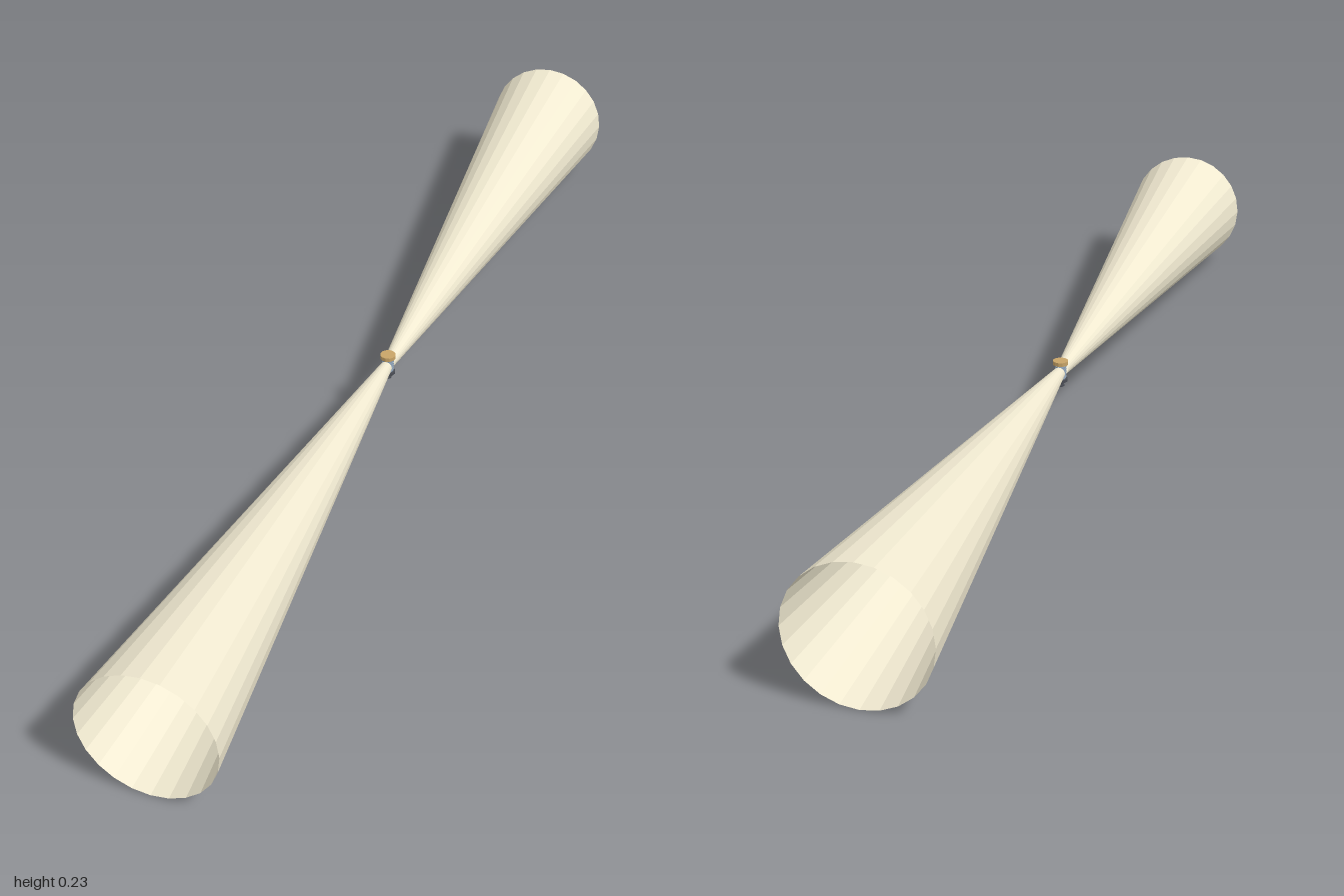
import * as THREE from 'three';

const CY = 0.115; // height of the beam axis

export function createModel() {
  const model = new THREE.Group();
  const mat = (color, extra = {}) =>
    new THREE.MeshStandardMaterial({ color, flatShading: true, ...extra });
  const cream = mat(0xf0e9d0, { side: THREE.DoubleSide });
  const brass = mat(0xc8a468);
  const glass = mat(0x8fa3b8);
  const dark = mat(0x4a4d55);

  function add(name, geometry, material, y) {
    const mesh = new THREE.Mesh(geometry, material);
    mesh.name = name;
    mesh.position.y = y;
    model.add(mesh);
    return mesh;
  }

  // Two open light beams, widening away from the lamp
  for (const s of [1, -1]) {
    const geo = new THREE.CylinderGeometry(0.115, 0.011, 0.99, 24, 1, true);
    geo.rotateX(s * Math.PI / 2);
    const beam = add(s > 0 ? 'frontBeam' : 'backBeam', geo, cream, CY);
    beam.position.z = s * 0.505;
  }

  // Lamp: glass core with stacked lens rings
  add('lampCore', new THREE.CylinderGeometry(0.009, 0.009, 0.03, 12), glass, CY);
  for (let i = -2; i <= 2; i++) {
    add('lensRing', new THREE.CylinderGeometry(0.0105, 0.0105, 0.003, 12), glass, CY + i * 0.005);
  }

  // Brass cap above, collar and pivot foot below
  add('cap', new THREE.CylinderGeometry(0.014, 0.014, 0.007, 12), brass, CY + 0.0175);
  add('collar', new THREE.CylinderGeometry(0.013, 0.013, 0.005, 12), dark, CY - 0.0155);
  add('pivot', new THREE.CylinderGeometry(0.005, 0.005, 0.009, 8), dark, CY - 0.0215);
  add('foot', new THREE.CylinderGeometry(0.007, 0.007, 0.003, 8), dark, CY - 0.026);

  return model;
}
